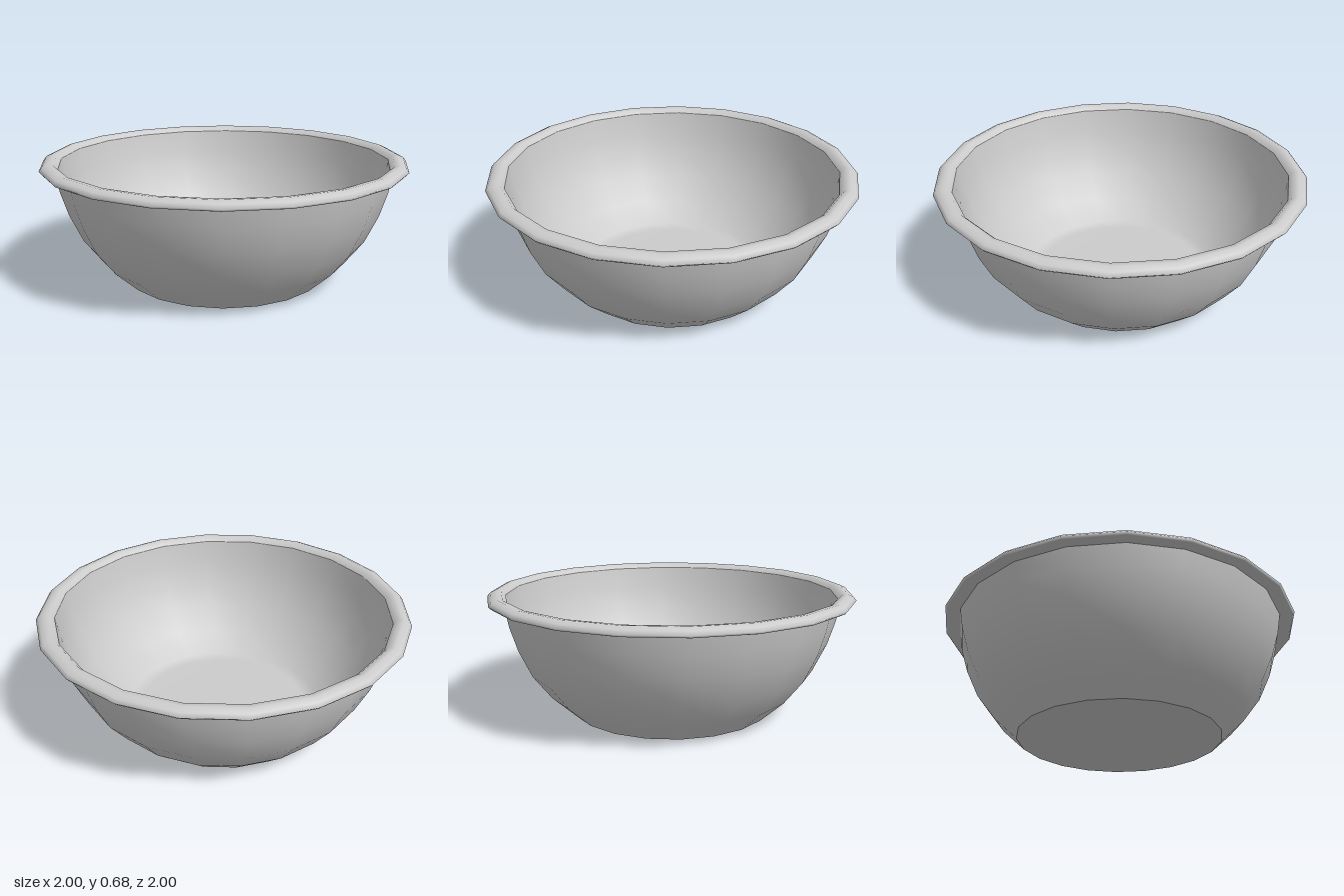
import * as THREE from 'three';

const SIDES = 20;
const material = new THREE.MeshStandardMaterial({ color: 0xcccccc, side: THREE.DoubleSide });

// Revolve a [radius, height] profile around the vertical axis
function turned(name, profile) {
  const points = profile.map(([r, y]) => new THREE.Vector2(r, y));
  const mesh = new THREE.Mesh(new THREE.LatheGeometry(points, SIDES), material);
  mesh.name = name;
  return mesh;
}

export function createModel() {
  const bowl = new THREE.Group();
  bowl.name = 'bowl';

  // Flat foot the bowl stands on
  bowl.add(turned('base', [[0, 0], [0.56, 0]]));

  // Curved outside, meeting the base at a crisp edge
  bowl.add(turned('outerWall', [
    [0.56, 0], [0.69, 0.12], [0.79, 0.25], [0.86, 0.4], [0.9, 0.53], [0.92, 0.64],
  ]));

  // Rolled lip that overhangs the wall and droops slightly outward
  bowl.add(turned('rim', [
    [0.92, 0.64], [0.96, 0.637], [0.99, 0.633], [1, 0.645],
    [0.985, 0.663], [0.955, 0.676], [0.925, 0.673], [0.903, 0.65],
  ]));

  // Inside surface, blending into a flat floor
  bowl.add(turned('innerWall', [
    [0.903, 0.65], [0.88, 0.53], [0.84, 0.4], [0.77, 0.26],
    [0.67, 0.135], [0.55, 0.025], [0.48, 0.015], [0, 0.015],
  ]));

  return bowl;
}
